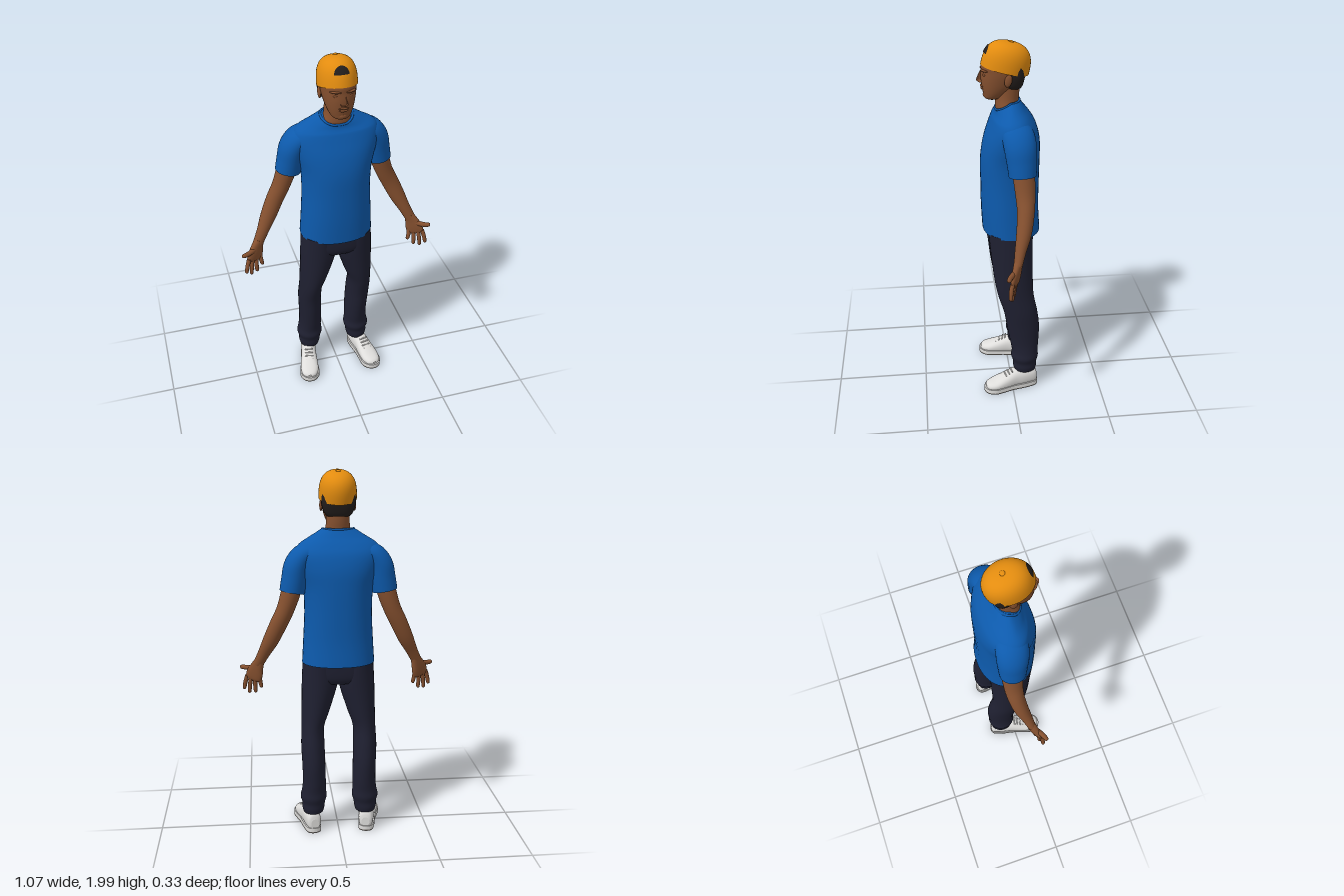
import * as THREE from 'three';

const material = (name, color) => {
  const m = new THREE.MeshStandardMaterial({ color });
  m.name = name;
  return m;
};
const UP = new THREE.Vector3(0, 1, 0);
const FRONT = new THREE.Vector3(0, 0, 1);

// Smooth interpolation between rows of numbers
function smoothRows(rows, steps) {
  const out = [];
  const at = (i) => rows[Math.min(Math.max(i, 0), rows.length - 1)];
  for (let i = 0; i < rows.length - 1; i++) {
    for (let k = 0; k < steps; k++) {
      const t = k / steps;
      out.push(rows[i].map((p1, c) => {
        const p0 = at(i - 1)[c], p2 = at(i + 1)[c], p3 = at(i + 2)[c];
        return p1 + 0.5 * t * (p2 - p0 + t * (2 * p0 - 5 * p1 + 4 * p2 - p3 + t * (3 * (p1 - p2) + p3 - p0)));
      }));
    }
  }
  out.push(rows[rows.length - 1]);
  return out;
}

// Skin over rounded sections [x, y, z, halfWidth, halfDepth]; a fixed axis keeps all sections parallel
function loft(rows, { axis = null, ref = FRONT, n = 2, steps = 5, sides = 32, warp = null } = {}) {
  const secs = smoothRows(rows, steps);
  const centres = secs.map((s) => new THREE.Vector3(s[0], s[1], s[2]));
  const pos = [], index = [];
  const pow = (v) => Math.sign(v) * Math.abs(v) ** (2 / n);
  const last = secs.length - 1;
  secs.forEach((s, i) => {
    const T = axis ? axis.clone() : centres[Math.min(i + 1, last)].clone().sub(centres[Math.max(i - 1, 0)]).normalize();
    const u = T.clone().cross(ref).normalize();
    const v = u.clone().cross(T);
    for (let j = 0; j < sides; j++) {
      const a = (j / sides) * Math.PI * 2;
      const p = centres[i].clone().addScaledVector(u, pow(Math.cos(a)) * Math.max(s[3], 0.0005))
        .addScaledVector(v, pow(Math.sin(a)) * Math.max(s[4], 0.0005));
      if (warp) warp(p);
      pos.push(p.x, p.y, p.z);
    }
  });
  for (let i = 0; i < last; i++) {
    for (let j = 0; j < sides; j++) {
      const k = (j + 1) % sides, a = i * sides, b = a + sides;
      index.push(a + j, b + j, a + k, a + k, b + j, b + k);
    }
  }
  // End faces have their own corners so their edges stay sharp
  for (const end of [0, last]) {
    const base = pos.length / 3;
    const c = centres[end].clone();
    if (warp) warp(c);
    for (let j = 0; j < sides * 3; j++) pos.push(pos[end * sides * 3 + j]);
    pos.push(c.x, c.y, c.z);
    for (let j = 0; j < sides; j++) {
      const k = (j + 1) % sides;
      if (end === 0) index.push(base + sides, base + j, base + k);
      else index.push(base + sides, base + k, base + j);
    }
  }
  const g = new THREE.BufferGeometry();
  g.setAttribute('position', new THREE.Float32BufferAttribute(pos, 3));
  g.setIndex(index);
  g.computeVertexNormals();
  return g;
}

export function createModel() {
  const skin = material('skin', 0x85502f), blue = material('shirt blue', 0x0d5aac);
  const navy = material('trouser navy', 0x1f2031), orange = material('cap orange', 0xe38c0f);
  const white = material('shoe white', 0xdedddb), dark = material('hair black', 0x231e1c);
  const grey = material('outsole grey', 0x77726c);
  const model = new THREE.Group();
  const add = (name, geo, mat, parent = model) => {
    const m = new THREE.Mesh(geo, mat);
    m.name = name;
    parent.add(m);
    return m;
  };
  const blob = (name, x, y, z, rx, ry, rz, mat = skin, parent = model) => {
    const m = add(name, new THREE.SphereGeometry(1, 20, 14), mat, parent);
    m.position.set(x, y, z);
    m.scale.set(rx, ry, rz);
    return m;
  };

  // Shirt body, with the neckline dipping at the front
  const dip = (p) => {
    if (p.y > 1.6) p.y -= 0.045 * Math.max(0, Math.min(1, p.z / 0.07)) * (p.y - 1.6) / 0.09;
  };
  add('shirtBody', loft([
    [0, 0.97, -0.007, 0.197, 0.155], [0, 1.1, 0, 0.189, 0.154], [0, 1.25, 0, 0.182, 0.155],
    [0, 1.38, -0.002, 0.188, 0.155], [0, 1.48, -0.01, 0.214, 0.145], [0, 1.56, -0.015, 0.23, 0.122],
    [0, 1.61, -0.01, 0.208, 0.098], [0, 1.65, 0, 0.148, 0.077], [0, 1.69, 0.012, 0.086, 0.062],
  ], { axis: UP, n: 2.2, sides: 48, warp: dip }), blue);
  const collar = [];
  for (let i = 0; i < 32; i++) {
    const a = (i / 32) * Math.PI * 2;
    const p = new THREE.Vector3(0.084 * Math.cos(a), 1.688, 0.012 + 0.063 * Math.sin(a));
    dip(p);
    collar.push(p);
  }
  add('shirtCollar', new THREE.TubeGeometry(new THREE.CatmullRomCurve3(collar, true), 64, 0.006, 8, true), blue);

  // Neck and head
  add('neck', loft([
    [0, 1.6, 0.005, 0.07, 0.055], [0, 1.645, 0.014, 0.078, 0.06], [0, 1.69, 0.013, 0.066, 0.06],
    [0, 1.73, 0.01, 0.062, 0.06], [0, 1.8, 0.01, 0.06, 0.06],
  ], { axis: UP }), skin);
  add('head', loft([
    [0, 1.692, 0.088, 0.018, 0.02], [0, 1.703, 0.086, 0.042, 0.043], [0, 1.725, 0.076, 0.058, 0.058],
    [0, 1.76, 0.058, 0.072, 0.083], [0, 1.8, 0.044, 0.082, 0.101], [0, 1.84, 0.034, 0.088, 0.11],
    [0, 1.88, 0.03, 0.088, 0.113], [0, 1.93, 0.015, 0.075, 0.09],
  ], { axis: UP, n: 2.15 }), skin);
  add('nose', loft([
    [0, 1.842, 0.14, 0.009, 0.008], [0, 1.82, 0.148, 0.011, 0.011], [0, 1.797, 0.152, 0.017, 0.016],
    [0, 1.787, 0.15, 0.018, 0.013], [0, 1.78, 0.145, 0.008, 0.006],
  ], { axis: UP, sides: 20 }), skin);
  blob('upperLip', 0, 1.764, 0.138, 0.026, 0.006, 0.011);
  blob('lowerLip', 0, 1.752, 0.136, 0.023, 0.007, 0.011);
  blob('chin', 0, 1.718, 0.122, 0.024, 0.017, 0.014);
  for (const s of [-1, 1]) {
    const brow = blob('browRidge', s * 0.037, 1.85, 0.128, 0.03, 0.007, 0.017);
    brow.rotation.y = s * 0.4;
    blob('eyelid', s * 0.034, 1.828, 0.127, 0.016, 0.008, 0.012);
    blob('ear', s * 0.088, 1.808, 0.015, 0.009, 0.032, 0.019).rotation.x = -0.2;
  }
  add('hair', loft([
    [0, 1.755, -0.017, 0.06, 0.042], [0, 1.775, -0.018, 0.076, 0.05],
    [0, 1.82, -0.022, 0.089, 0.056], [0, 1.87, -0.02, 0.089, 0.06],
  ], { axis: UP, n: 2.6 }), dark);

  // Cap worn backwards, tilted, with its arched opening at the front
  const cap = new THREE.Group();
  cap.name = 'cap';
  cap.position.set(0, 1.845, 0.025);
  cap.rotation.x = -0.24;
  model.add(cap);
  const H = 0.142, shrink = (h) => (1 - Math.min(1, h / H) ** 3) ** (1 / 2.6);
  const capRows = [];
  for (let i = 0; i <= 20; i++) {
    const h = H * Math.sin((i / 20) * Math.PI / 2);
    capRows.push([0, h, 0, 0.1 * shrink(h), 0.125 * shrink(h)]);
  }
  add('capCrown', loft(capRows, { axis: UP, steps: 1, sides: 40 }), orange, cap);
  blob('capButton', 0, H, 0, 0.013, 0.006, 0.013, orange, cap);
  const opening = new THREE.RingGeometry(0.0005, 1, 24, 8, 0, Math.PI);
  const op = opening.attributes.position;
  for (let i = 0; i < op.count; i++) {
    const x = op.getX(i) * 0.038, h = 0.062 + op.getY(i) * 0.042, f = shrink(h);
    op.setXYZ(i, x - 0.004, h, 0.125 * f * Math.sqrt(1 - (x / (0.1 * f)) ** 2) + 0.003);
  }
  opening.computeVertexNormals();
  add('capOpening', opening, dark, cap);

  // Trouser seat
  add('trouserSeat', loft([
    [0, 0.86, 0, 0.15, 0.1], [0, 0.9, 0.003, 0.19, 0.119], [0, 1.0, 0.003, 0.188, 0.124],
  ], { axis: UP, n: 2.5 }), navy);

  // Shoe outline, half widths from heel to toe
  const outline = [[-0.155, 0.012], [-0.14, 0.035], [-0.08, 0.045], [0, 0.046], [0.06, 0.054], [0.11, 0.056], [0.145, 0.036], [0.158, 0.012]];
  const soleShape = new THREE.Shape(new THREE.CatmullRomCurve3([
    ...outline.map(([z, w]) => new THREE.Vector3(w, z, 0)),
    ...outline.slice().reverse().map(([z, w]) => new THREE.Vector3(-w, z, 0)),
  ], true).getPoints(60).slice(0, -1).map((p) => new THREE.Vector2(p.x, p.y)));
  const slab = (bottom, depth) => new THREE.ExtrudeGeometry(soleShape, { depth, bevelEnabled: false })
    .rotateX(Math.PI / 2).translate(0, bottom + depth, 0);

  for (const s of [-1, 1]) {
    const side = s > 0 ? 'left' : 'right';
    const flip = (rows) => rows.map(([x, ...r]) => [x * s, ...r]);

    // Sleeve and arm
    add(side + 'Sleeve', loft(flip([
      [0.13, 1.575, -0.02, 0.045, 0.075], [0.185, 1.553, -0.025, 0.06, 0.082],
      [0.22, 1.5, -0.032, 0.068, 0.082], [0.235, 1.43, -0.037, 0.068, 0.076], [0.247, 1.363, -0.04, 0.067, 0.07],
    ])), blue);
    add(side + 'Arm', loft(flip([
      [0.22, 1.5, -0.035, 0.052, 0.056], [0.252, 1.37, -0.045, 0.052, 0.056], [0.285, 1.27, -0.05, 0.047, 0.05],
      [0.323, 1.19, -0.048, 0.046, 0.044], [0.365, 1.1, -0.034, 0.042, 0.039],
      [0.405, 1.02, -0.012, 0.032, 0.029], [0.438, 0.955, 0.004, 0.028, 0.022],
    ])), skin);

    // Hand with the palm turned forwards
    const palmFacing = new THREE.Vector3(-0.45 * s, 0, 0.89);
    add(side + 'Palm', loft(flip([
      [0.428, 0.975, 0, 0.026, 0.022], [0.443, 0.94, 0.008, 0.037, 0.02], [0.455, 0.905, 0.016, 0.047, 0.018],
      [0.464, 0.875, 0.022, 0.046, 0.014], [0.467, 0.862, 0.024, 0.036, 0.008],
    ]), { ref: palmFacing, n: 2.4 }), skin);
    const finger = (name, base, mid, tip, r) => add(side + name, loft(flip([
      [...base, r, r], [...mid, r, r], [...tip.map((t, i) => t - (t - mid[i]) * 0.15), r * 0.8, r * 0.8], [...tip, r * 0.1, r * 0.1],
    ]), { sides: 12 }), skin);
    [['Index', 0.497, 0.885, 0.517, 0.803], ['Middle', 0.476, 0.88, 0.488, 0.783],
      ['Ring', 0.453, 0.878, 0.454, 0.788], ['Little', 0.43, 0.885, 0.42, 0.82]].forEach(([n, x0, y0, x1, y1]) => {
      const z = 0.02 + (x0 - 0.46) * 0.5;
      finger(n + 'Finger', [x0, y0, z], [(x0 + x1) / 2 + 0.002, (y0 + y1) / 2, z + 0.008], [x1, y1, z + 0.01], 0.0115);
    });
    finger('Thumb', [0.45, 0.935, 0.015], [0.495, 0.928, 0.045], [0.535, 0.928, 0.062], 0.0135);

    // Trouser leg, gathered at the ankle
    add(side + 'TrouserLeg', loft(flip([
      [0.098, 0.98, 0.003, 0.095, 0.12], [0.1, 0.86, -0.001, 0.1, 0.115], [0.125, 0.7, -0.01, 0.079, 0.106],
      [0.143, 0.6, -0.022, 0.063, 0.098], [0.145, 0.5, -0.047, 0.065, 0.093], [0.142, 0.4, -0.062, 0.064, 0.091],
      [0.14, 0.3, -0.07, 0.064, 0.081], [0.143, 0.24, -0.073, 0.067, 0.074], [0.145, 0.2, -0.072, 0.073, 0.077],
      [0.145, 0.165, -0.073, 0.064, 0.068], [0.147, 0.135, -0.073, 0.062, 0.067], [0.147, 0.11, -0.073, 0.056, 0.062],
    ]), { axis: new THREE.Vector3(0, -1, 0) }), navy);
    add(side + 'Ankle', new THREE.CylinderGeometry(0.038, 0.038, 0.07, 20), skin).position.set(s * 0.152, 0.1, -0.07);

    // Shoe, toes turned out
    const shoe = new THREE.Group();
    shoe.name = side + 'Shoe';
    shoe.position.set(s * 0.172, 0, 0.008);
    shoe.rotation.y = s * 0.2;
    model.add(shoe);
    add('outsole', slab(0, 0.007), grey, shoe);
    add('midsole', slab(0.007, 0.022), white, shoe);
    add('shoeUpper', loft([
      [0, 0.05, -0.15, 0.022, 0.03], [0, 0.062, -0.135, 0.038, 0.052], [0, 0.062, -0.075, 0.044, 0.056],
      [0, 0.06, -0.02, 0.044, 0.056], [0, 0.047, 0.04, 0.05, 0.045], [0, 0.038, 0.095, 0.052, 0.03],
      [0, 0.033, 0.135, 0.038, 0.022], [0, 0.03, 0.15, 0.015, 0.012],
    ], { axis: FRONT, ref: UP, n: 2.3, warp: (p) => { p.y = Math.max(p.y, 0.012); } }), white, shoe);
    for (let i = 0; i < 4; i++) {
      const lace = add('lace', new THREE.CapsuleGeometry(0.004, 0.042, 4, 8), white, shoe);
      lace.rotation.z = Math.PI / 2;
      lace.position.set(0, 0.112 - i * 0.0105, 0 + i * 0.018);
    }
  }
  model.children.forEach((c) => { c.position.x -= 0.005; });
  return model;
}
